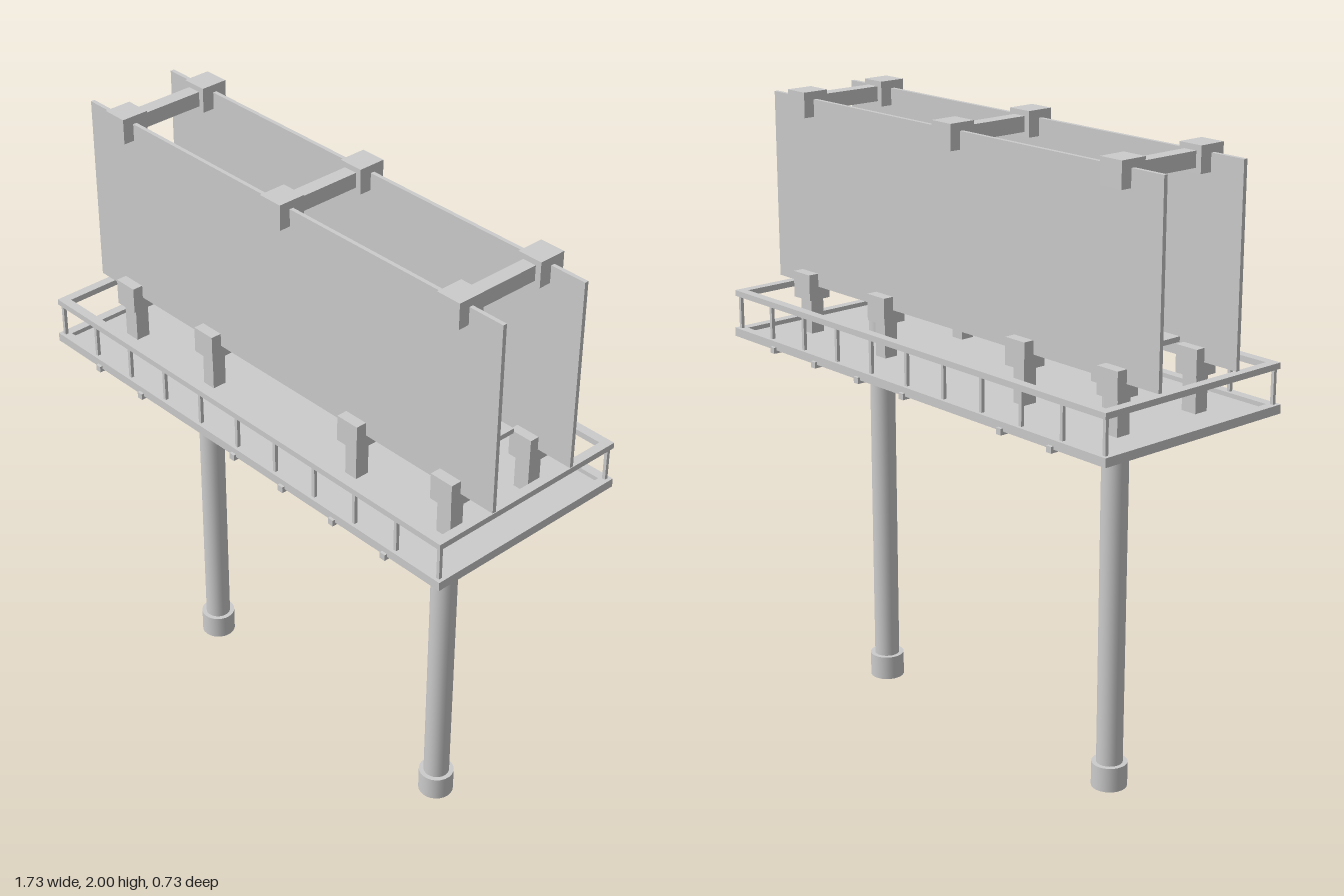
import * as THREE from 'three';

const material = new THREE.MeshStandardMaterial({ color: 0xcccccc });
const openMaterial = new THREE.MeshStandardMaterial({ color: 0xcccccc, side: THREE.DoubleSide });

export function createModel() {
  const model = new THREE.Group();

  // Box placed by its centre in x and z and its bottom and top in y
  function box(name, x, z, width, depth, y0, y1) {
    const mesh = new THREE.Mesh(new THREE.BoxGeometry(width, y1 - y0, depth), material);
    mesh.position.set(x, (y0 + y1) / 2, z);
    mesh.name = name;
    model.add(mesh);
  }

  // Upright round tube, open at the bottom
  function tube(name, x, radius, y0, y1, open) {
    const mesh = new THREE.Mesh(
      new THREE.CylinderGeometry(radius, radius, y1 - y0, 24, 1, open), openMaterial);
    mesh.position.set(x, (y0 + y1) / 2, 0);
    mesh.name = name;
    model.add(mesh);
  }

  // Rectangular frame lying flat, running round the platform edge
  function frame(name, halfX, halfZ, bar, y0, y1) {
    const shape = new THREE.Shape([
      new THREE.Vector2(-halfX, -halfZ), new THREE.Vector2(halfX, -halfZ),
      new THREE.Vector2(halfX, halfZ), new THREE.Vector2(-halfX, halfZ)]);
    const x = halfX - bar, z = halfZ - bar;
    shape.holes.push(new THREE.Path([
      new THREE.Vector2(-x, -z), new THREE.Vector2(-x, z),
      new THREE.Vector2(x, z), new THREE.Vector2(x, -z)]));
    const geometry = new THREE.ExtrudeGeometry(shape, { depth: y1 - y0, bevelEnabled: false });
    geometry.rotateX(-Math.PI / 2);
    const mesh = new THREE.Mesh(geometry, material);
    mesh.position.y = y0;
    mesh.name = name;
    model.add(mesh);
  }

  // Supporting poles with wider footings, tied by a cap plate
  for (const x of [-0.54, 0.54]) {
    tube('pole', x, 0.041, 0.04, 1.436, true);
    tube('poleFooting', x, 0.056, 0, 0.08, true);
    const ring = new THREE.Mesh(new THREE.RingGeometry(0.041, 0.056, 24), openMaterial);
    ring.rotation.x = -Math.PI / 2;
    ring.position.set(x, 0.08, 0);
    ring.name = 'footingTop';
    model.add(ring);
  }
  box('capPlate', 0, 0, 1.4, 0.178, 1.434, 1.45);

  // Walkway platform, its curb and the joists below
  box('platform', 0, 0, 1.714, 0.71, 1.2, 1.214);
  frame('curb', 0.857, 0.355, 0.03, 1.212, 1.228);
  for (const x of [-0.643, -0.435, 0, 0.215, 0.43, 0.643]) {
    box('joist', x, 0, 0.02, 0.728, 1.19, 1.21);
  }

  // Safety railing
  frame('handrail', 0.852, 0.352, 0.03, 1.335, 1.354);
  for (let i = 0; i < 11; i++) {
    for (const side of [-1, 1]) {
      box('railingPost', -0.84 + i * 0.168, side * 0.339, 0.011, 0.011, 1.22, 1.34);
    }
  }

  // Two display boards, back to back, with their brackets
  for (const side of [-1, 1]) {
    const z = side * 0.156;
    box('displayBoard', 0, z, 1.727, 0.013, 1.37, 1.975);
    for (const x of [-0.7, -0.32, 0.32, 0.7]) {
      box('lowerClamp', x, z + side * 0.002, 0.082, 0.08, 1.328, 1.413);
      box('bracketPost', x, z + side * 0.002, Math.abs(x) > 0.5 ? 0.054 : 0.046, 0.048, 1.21, 1.33);
    }
    for (const x of [-0.7, 0, 0.7]) {
      box('upperClamp', x, side * 0.154, 0.084, 0.09, 1.92, 2);
    }
  }

  // Spreader bars joining the boards at the top
  for (const x of [-0.7, 0, 0.7]) {
    box('spreaderBar', x, 0, 0.046, 0.24, 1.935, 1.983);
  }

  return model;
}
